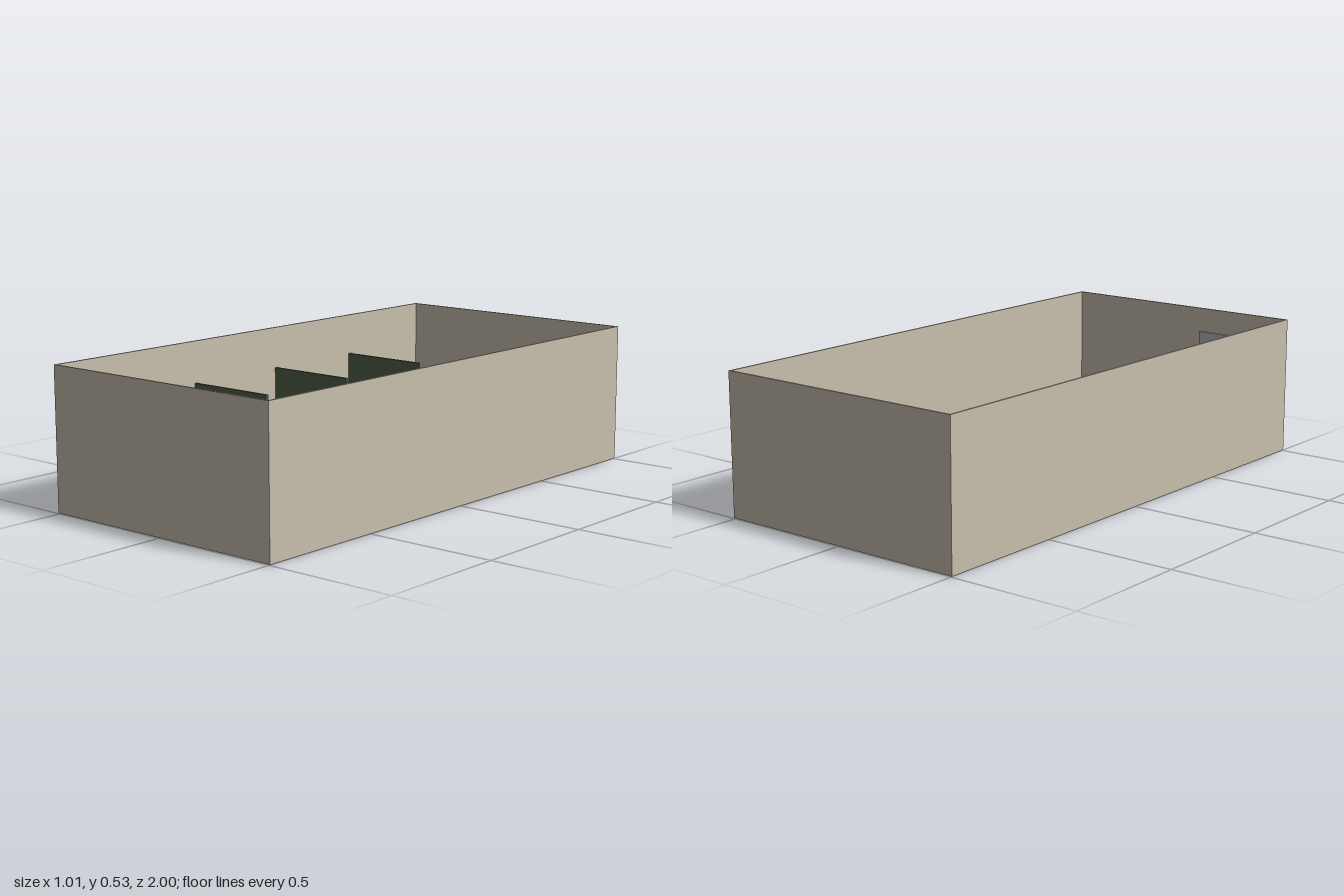
import * as THREE from 'three';
import { RoundedBoxGeometry } from 'three/addons/geometries/RoundedBoxGeometry.js';

const mat = (color, side = THREE.FrontSide) => new THREE.MeshStandardMaterial({ color, side });
const wallMat = mat(0xc8c0ae), floorMat = mat(0x918d8b), panelMat = mat(0x506048);
const darkMat = mat(0x2a2b2c), binMat = mat(0x333436, THREE.DoubleSide), counterMat = mat(0xc9bd95);
const mirrorMat = mat(0xb4b6b8), ceramic = mat(0xcccccc, THREE.DoubleSide);

function add(parent, name, geometry, material, x = 0, y = 0, z = 0) {
  const mesh = new THREE.Mesh(geometry, material);
  mesh.name = name;
  mesh.position.set(x, y, z);
  parent.add(mesh);
  return mesh;
}

// Box given by its minimum and maximum corners
function box(parent, name, material, [x0, y0, z0], [x1, y1, z1]) {
  return add(parent, name, new THREE.BoxGeometry(x1 - x0, y1 - y0, z1 - z0), material,
    (x0 + x1) / 2, (y0 + y1) / 2, (z0 + z1) / 2);
}

function lathe(points, segments = 40) {
  return new THREE.LatheGeometry(points.map(([r, y]) => new THREE.Vector2(r, y)), segments);
}

// Toilet facing +x, with its floor at y = 0 and the bowl centre at x = 0
function createToilet() {
  const toilet = new THREE.Group();
  toilet.name = 'toilet';

  // Bowl: outer pedestal, rim and hollow inside; the foot is pulled back
  const bowl = lathe([[0.034, 0], [0.035, 0.008], [0.03, 0.02], [0.03, 0.045], [0.04, 0.07],
    [0.051, 0.09], [0.053, 0.105], [0.05, 0.109], [0.036, 0.108], [0.032, 0.092],
    [0.022, 0.074], [0.008, 0.066], [0, 0.065]]);
  const p = bowl.attributes.position;
  for (let i = 0; i < p.count; i++) {
    const t = Math.max(0, 1 - p.getY(i) / 0.1);
    p.setX(i, p.getX(i) * (1.15 + 0.15 * t) - 0.025 * t);
  }
  bowl.computeVertexNormals();
  add(toilet, 'bowl', bowl, ceramic);

  // Oval seat ring
  const ring = new THREE.Shape().absellipse(0, 0, 0.064, 0.055, 0, Math.PI * 2);
  ring.holes.push(new THREE.Path().absellipse(0.008, 0, 0.044, 0.03, 0, Math.PI * 2));
  const seat = new THREE.ExtrudeGeometry(ring, {
    depth: 0.006, bevelSize: 0.002, bevelThickness: 0.002, bevelSegments: 2, curveSegments: 24
  });
  seat.rotateX(-Math.PI / 2);
  add(toilet, 'seat', seat, ceramic, 0, 0.111, 0);

  // Rear shelf, cistern and raised lid
  add(toilet, 'pedestalBack', new RoundedBoxGeometry(0.08, 0.1, 0.06, 3, 0.012), ceramic, -0.08, 0.05, 0);
  add(toilet, 'shelf', new RoundedBoxGeometry(0.1, 0.03, 0.105, 3, 0.012), ceramic, -0.095, 0.097, 0);
  add(toilet, 'cistern', new RoundedBoxGeometry(0.05, 0.09, 0.115, 3, 0.014), ceramic, -0.117, 0.153, 0);
  add(toilet, 'cisternLid', new RoundedBoxGeometry(0.056, 0.012, 0.12, 3, 0.005), ceramic, -0.115, 0.201, 0);
  const button = new THREE.CylinderGeometry(0.009, 0.009, 0.006, 20);
  add(toilet, 'flushButton', button, ceramic, -0.115, 0.208, 0);

  // Hinges and supply pipe
  for (const s of [-1, 1]) {
    const hinge = new THREE.CylinderGeometry(0.005, 0.005, 0.016, 12).rotateX(Math.PI / 2);
    add(toilet, 'hinge', hinge, ceramic, -0.066, 0.116, s * 0.025);
  }
  const path = new THREE.CatmullRomCurve3([[-0.15, 0.06, -0.045], [-0.138, 0.06, -0.045],
    [-0.132, 0.075, -0.045], [-0.132, 0.12, -0.045]].map(a => new THREE.Vector3(...a)));
  add(toilet, 'supplyPipe', new THREE.TubeGeometry(path, 16, 0.004, 8), ceramic);
  return toilet;
}

export function createModel() {
  const room = new THREE.Group();
  room.name = 'washroom';

  // Floor and four walls
  const X = 0.505, H = 0.53, T = 0.008;
  box(room, 'floor', floorMat, [-X + 0.001, 0.002, -0.999], [X - 0.001, 0.008, 0.999]);
  for (const s of [-1, 1]) {
    const xs = [s * X, s * (X - T)], zs = [s, s * (1 - T)];
    box(room, 'sideWall', wallMat, [Math.min(...xs), 0.003, -1], [Math.max(...xs), H, 1]);
    box(room, 'endWall', wallMat, [-X + T, 0.003, Math.min(...zs)], [X - T, H, Math.max(...zs)]);
  }

  // Three stalls: a toilet beside each partition
  for (let i = 0; i < 3; i++) {
    const toilet = createToilet();
    toilet.position.set(-0.35, 0.008, -0.78 + i * 0.442);
    room.add(toilet);

    const z = -0.556 + i * 0.441;
    const partition = new THREE.Group();
    partition.name = 'partition';
    box(partition, 'panel', panelMat, [-0.495, 0.084, z - 0.006], [-0.132, 0.372, z + 0.006]);
    for (const x of [-0.48, -0.172]) {
      add(partition, 'post', new THREE.CylinderGeometry(0.004, 0.004, 0.086, 12), darkMat, x, 0.043, z);
    }
    room.add(partition);
  }

  // Vanity: recessed base, counter top and upstand
  const vanity = new THREE.Group();
  vanity.name = 'vanity';
  box(vanity, 'base', counterMat, [-0.497, 0, 0.86], [-0.062, 0.168, 0.972]);
  box(vanity, 'counterTop', counterMat, [-0.497, 0.168, 0.815], [-0.058, 0.188, 0.975]);
  box(vanity, 'upstand', counterMat, [-0.497, 0.188, 0.969], [-0.058, 0.196, 0.975]);
  room.add(vanity);

  // Wall mirror
  box(room, 'mirror', mirrorMat, [-0.46, 0.22, 0.983], [-0.105, 0.435, 0.992]);

  // Waste bin with a rounded top and an open mouth
  const bin = lathe([[0, 0], [0.052, 0], [0.054, 0.005], [0.056, 0.095], [0.055, 0.115],
    [0.047, 0.131], [0.035, 0.138], [0.03, 0.136], [0.029, 0.11], [0.04, 0.01], [0, 0.01]]);
  add(room, 'wasteBin', bin, binMat, 0.012, 0, 0.908);
  return room;
}
